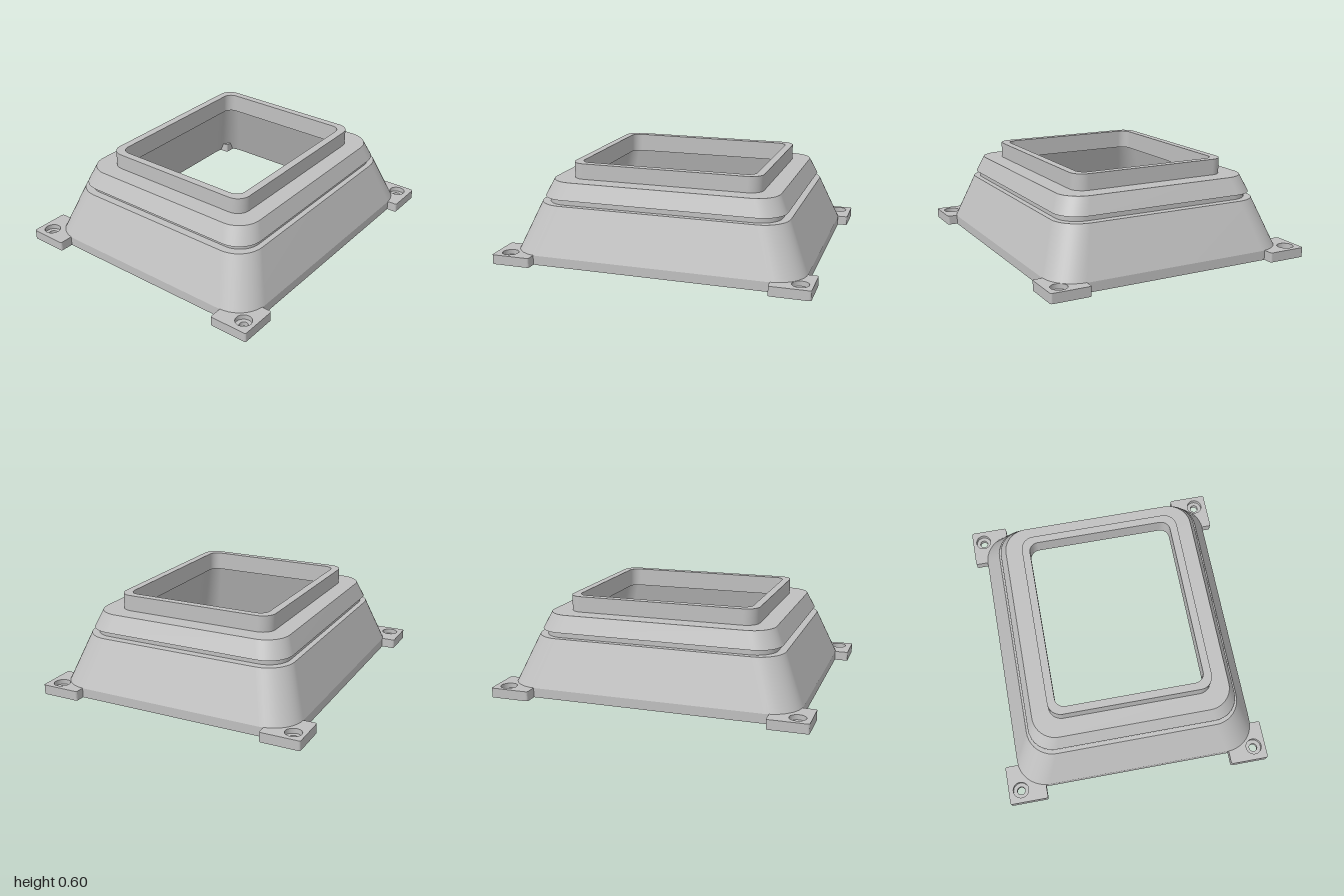
import * as THREE from 'three';

const CX = 0.01, CZ = -0.012; // the housing sits slightly off the feet's centre

// Points around a rounded rectangle, counter-clockwise in its own plane
function roundedRect(hx, hz, r, steps = 10) {
  const pts = [];
  for (let q = 0; q < 4; q++) {
    const sx = q === 0 || q === 3 ? 1 : -1, sz = q < 2 ? 1 : -1;
    for (let i = 0; i <= steps; i++) {
      const a = (q + i / steps) * Math.PI / 2;
      pts.push(new THREE.Vector2(sx * (hx - r) + r * Math.cos(a), sz * (hz - r) + r * Math.sin(a)));
    }
  }
  return pts;
}

// One band of surface between two rounded-rectangle rings [y, hx, hz, r]
function band(lower, upper) {
  const rings = [lower, upper].map(([, hx, hz, r]) => roundedRect(hx, hz, r));
  const n = rings[0].length, pos = [], idx = [];
  rings.forEach((ring, k) => ring.forEach(p => pos.push(p.x + CX, (k ? upper : lower)[0], p.y + CZ)));
  for (let i = 0; i < n; i++) {
    const j = (i + 1) % n;
    idx.push(i, n + i, j, j, n + i, n + j);
  }
  const g = new THREE.BufferGeometry();
  g.setAttribute('position', new THREE.Float32BufferAttribute(pos, 3));
  g.setIndex(idx);
  g.computeVertexNormals();
  return g;
}

// Flat square layer of a foot with a round hole through it
function footLayer(holeX, holeZ, holeR, y, h) {
  const shape = new THREE.Shape(roundedRect(0.125, 0.125, 0.012, 4));
  const hole = new THREE.Path();
  hole.absarc(holeX, -holeZ, holeR, 0, Math.PI * 2, true);
  shape.holes.push(hole);
  const g = new THREE.ExtrudeGeometry(shape, { depth: h, bevelEnabled: false, curveSegments: 24 });
  return g.rotateX(-Math.PI / 2).translate(0, y, 0);
}

export function createModel() {
  const model = new THREE.Group();
  model.name = 'hollowMountingBase';
  const grey = new THREE.MeshStandardMaterial({ color: 0xc0c0c0 });
  grey.name = 'plain grey';

  // Closed wall profile: up the outside, over the rim, down the inside
  const profile = [
    [0, 0.794, 0.925, 0.19],
    [0.06, 0.794, 0.925, 0.19],
    [0.36, 0.687, 0.797, 0.17],
    [0.36, 0.652, 0.748, 0.14],
    [0.395, 0.652, 0.748, 0.14],
    [0.395, 0.673, 0.778, 0.16],
    [0.5, 0.632, 0.728, 0.15],
    [0.5, 0.521, 0.614, 0.085],
    [0.6, 0.521, 0.614, 0.085],
    [0.6, 0.471, 0.566, 0.06],
    [0.48, 0.471, 0.566, 0.06],
    [0.48, 0.56, 0.66, 0.1],
    [0, 0.697, 0.825, 0.13],
  ];
  const names = ['baseBand', 'slopedWall', 'grooveFloor', 'groove', 'flangeUnderside', 'flange', 'shoulder',
    'collar', 'collarRim', 'opening', 'innerLedge', 'innerWall', 'bottomRim'];
  const housing = new THREE.Group();
  housing.name = 'housing';
  profile.forEach((ring, i) => {
    const mesh = new THREE.Mesh(band(ring, profile[(i + 1) % profile.length]), grey);
    mesh.name = names[i];
    housing.add(mesh);
  });
  model.add(housing);

  // Corner feet with counterbored screw holes: [side x, side z, hole x, hole z]
  const feet = [[-1, -1, -0.793, -0.917], [1, -1, 0.783, -0.923], [-1, 1, -0.787, 0.917], [1, 1, 0.79, 0.912]];
  for (const [sx, sz, hx, hz] of feet) {
    const foot = new THREE.Group();
    foot.name = (sz > 0 ? 'front' : 'back') + (sx > 0 ? 'Left' : 'Right') + 'Foot';
    const x = sx * 0.743, z = sz * 0.875;
    foot.position.set(x, 0, z);
    [['screwHoleLayer', 0.026, 0, 0.03], ['counterboreLayer', 0.051, 0.03, 0.031]].forEach(([name, r, y, h]) => {
      const layer = new THREE.Mesh(footLayer(hx - x, hz - z, r, y, h), grey);
      layer.name = name;
      foot.add(layer);
    });
    model.add(foot);
  }
  return model;
}
